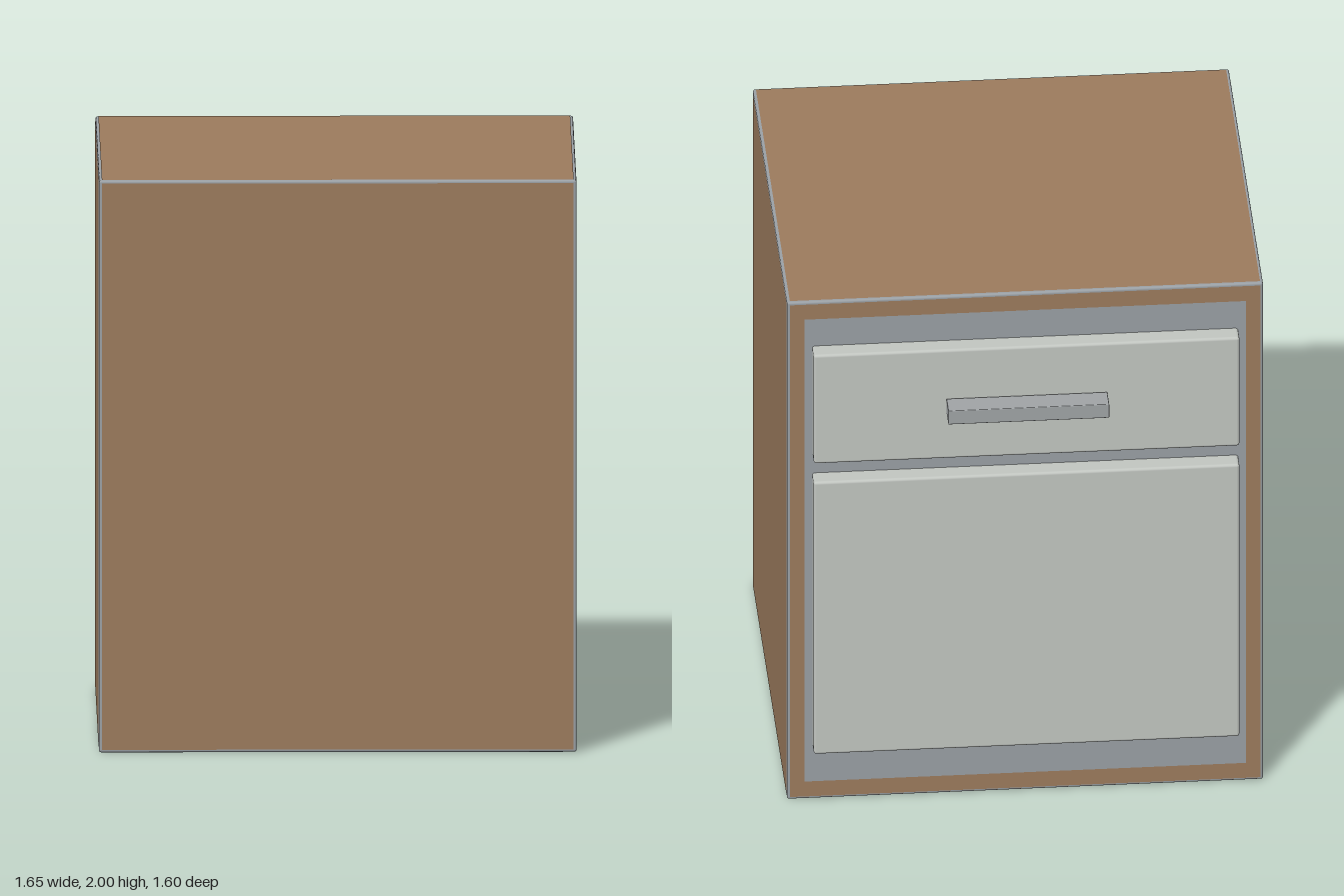
import * as THREE from 'three';
import { RoundedBoxGeometry } from 'three/addons/geometries/RoundedBoxGeometry.js';

const material = (color) => new THREE.MeshStandardMaterial({ color });

export function createModel() {
  const group = new THREE.Group();
  const wood = material(0x9c7b5d);
  const steel = material(0x9aa0a5);
  const panel = material(0xc2c6c1);
  const metal = material(0xa0a4a6);

  // Rounded block given by its extents on each axis
  function block(name, [x0, x1], [y0, y1], [z0, z1], radius, mat) {
    const geo = new RoundedBoxGeometry(x1 - x0, y1 - y0, z1 - z0, 2, radius);
    const mesh = new THREE.Mesh(geo, mat);
    mesh.name = name;
    mesh.position.set((x0 + x1) / 2, (y0 + y1) / 2, (z0 + z1) / 2);
    group.add(mesh);
  }

  // Thin wooden sheet lying just proud of the cabinet body
  function sheet(name, w, h, position, rx, ry) {
    const mesh = new THREE.Mesh(new THREE.PlaneGeometry(w, h), wood);
    mesh.name = name;
    mesh.position.set(...position);
    mesh.rotation.set(rx, ry, 0);
    group.add(mesh);
  }

  // Cabinet body, with a narrow grey edge left around every sheet
  const W = 1.65, H = 2, back = -0.645, front = 0.8;
  const D = front - back, midZ = (front + back) / 2, gap = 0.02, lift = 0.001;
  block('cabinetBody', [-W / 2, W / 2], [0, H], [back, front], 0.008, steel);

  sheet('frontSheet', W - gap, H - gap, [0, H / 2, front + lift], 0, 0);
  sheet('topSheet', W - gap, D - gap, [0, H + lift, midZ], -Math.PI / 2, 0);
  sheet('bottomSheet', W - gap, D - gap, [0, -lift, midZ], Math.PI / 2, 0);
  for (const s of [-1, 1]) {
    sheet(s > 0 ? 'leftSheet' : 'rightSheet', D - gap, H - gap,
      [s * (W / 2 + lift), H / 2, midZ], 0, s * Math.PI / 2);
  }

  // Wooden border around the drawer and door side
  const rectangle = (T, w, h) => new T([[-w, -h], [w, -h], [w, h], [-w, h]]
    .map(([x, y]) => new THREE.Vector2(x, y)));
  const border = rectangle(THREE.Shape, (W - gap) / 2, (H - gap) / 2);
  border.holes.push(rectangle(THREE.Path, W / 2 - 0.06, H / 2 - 0.07));
  const frame = new THREE.Mesh(new THREE.ShapeGeometry(border), wood);
  frame.name = 'woodBorder';
  frame.position.set(0, H / 2, back - lift);
  frame.rotation.y = Math.PI;
  group.add(frame);

  // Drawer, door and pull bar
  block('drawerFace', [-0.738, 0.738], [1.385, 1.822], [-0.711, -0.62], 0.01, panel);
  block('doorFace', [-0.738, 0.738], [0.215, 1.311], [-0.711, -0.62], 0.01, panel);
  block('drawerHandle', [-0.279, 0.279], [1.575, 1.63], [-0.8, -0.716], 0.003, metal);

  return group;
}
